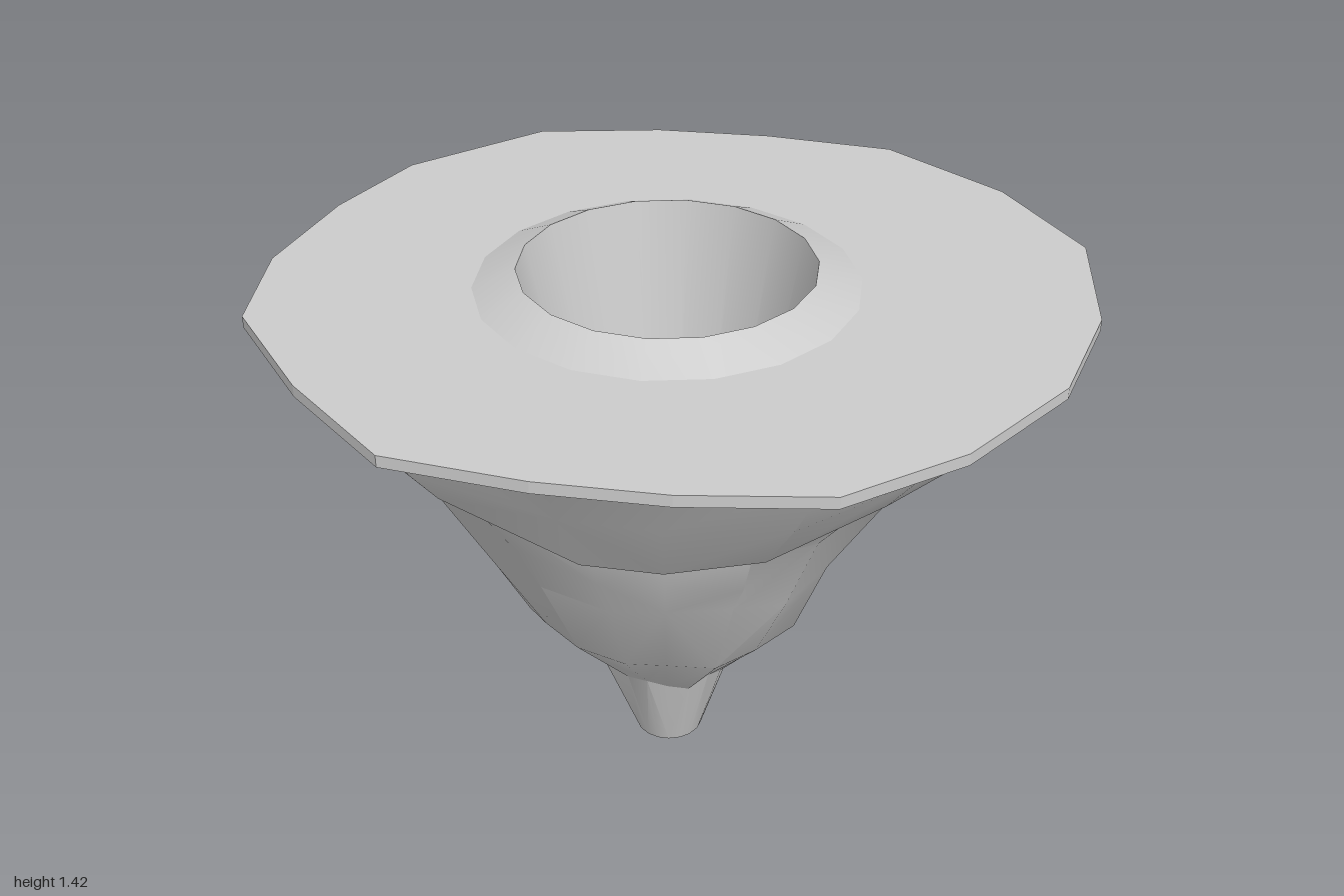
import * as THREE from 'three';
import { toCreasedNormals } from 'three/addons/utils/BufferGeometryUtils.js';

const CX = -0.03; // axis of the shaft
const SIDES = 18;

// Plate outline (x, z), from the front round through +x
const OUTLINE = [
  [0.12, 0.92], [0.41, 0.83], [0.72, 0.68], [0.9, 0.4], [1, 0.04], [0.97, -0.3],
  [0.82, -0.65], [0.52, -0.87], [0.15, -0.99], [-0.19, -0.92], [-0.48, -0.82], [-0.77, -0.66],
  [-0.97, -0.3], [-1, 0], [-0.97, 0.33], [-0.85, 0.61], [-0.55, 0.82], [-0.22, 0.98],
];

// Height of the overhanging ledge at each outline corner
const LEDGE = [0.93, 0.95, 1.0, 1.12, 1.16, 1.17, 1.2, 1.17, 1.18, 1.16, 1.19, 1.2, 1.22, 1.22, 1.2, 1.2, 1.19, 1.17];

// Rock profile: height, then radius towards +z, +x, -z, -x
const PROFILE = [
  [0, 0.09, 0.09, 0.09, 0.09],
  [0.25, 0.165, 0.165, 0.17, 0.175],
  [0.44, 0.34, 0.36, 0.38, 0.4],
  [0.7, 0.45, 0.47, 0.56, 0.56],
  [1.0, 0.67, 0.67, 0.69, 0.7],
  [1.2, 0.83, 0.87, 0.83, 0.81],
  [1.345, 0.91, 0.95, 0.91, 0.91],
];

function rng(seed) {
  return () => {
    seed = (seed * 16807) % 2147483647;
    return seed / 2147483647;
  };
}

function radiusAt(y, angle) {
  let i = 0;
  while (i < PROFILE.length - 2 && y > PROFILE[i + 1][0]) i++;
  const [a, b] = [PROFILE[i], PROFILE[i + 1]];
  const t = (y - a[0]) / (b[0] - a[0]);
  const q = (((angle / (Math.PI / 2)) % 4) + 4) % 4;
  const d = Math.floor(q);
  const side = (n) => THREE.MathUtils.lerp(a[1 + n], b[1 + n], t);
  return THREE.MathUtils.lerp(side(d), side((d + 1) % 4), q - d);
}

function rockGeometry() {
  const rand = rng(77);
  const jitter = (s) => (rand() * 2 - 1) * s;
  // Each ring: height rule, radius offset, roughness
  const rings = [
    [() => 0, 0, 0],
    [() => 0.25, 0, 0.025],
    [() => 0.45, 0, 0.03],
    [() => 0.7, 0, 0.045],
    [(l) => (0.7 + l - 0.05) / 2, -0.01, 0.045],
    [(l) => l - 0.04, -0.045, 0.02],
    [(l) => l, 0.01, 0.02],
    [(l) => (l + 1.345) / 2, 0, 0.025],
  ];
  const pos = [];
  for (const [height, offset, rough] of rings) {
    OUTLINE.forEach(([ox, oz], k) => {
      const a = Math.atan2(ox, oz);
      const y = height(LEDGE[k]) + jitter(rough);
      const shape = THREE.MathUtils.lerp(1, Math.hypot(ox, oz) / 0.98, Math.min(1, y / 1.345));
      const r = (radiusAt(y, a) + offset) * shape * (1 + jitter(rough));
      pos.push(CX + r * Math.sin(a), y, r * Math.cos(a));
    });
  }
  OUTLINE.forEach(([x, z]) => pos.push(x * 0.925, 1.35, z * 0.925));

  const index = [];
  for (let j = 0; j < rings.length; j++) {
    for (let k = 0; k < SIDES; k++) {
      const k1 = (k + 1) % SIDES;
      const a = j * SIDES + k, b = j * SIDES + k1;
      const c = b + SIDES, d = a + SIDES;
      if ((j + k) % 3) index.push(a, b, c, a, c, d);
      else index.push(a, b, d, b, c, d);
    }
  }
  const geo = new THREE.BufferGeometry();
  geo.setAttribute('position', new THREE.Float32BufferAttribute(pos, 3));
  geo.setIndex(index);
  return toCreasedNormals(geo, 0.42);
}

export function createModel() {
  const model = new THREE.Group();
  const material = new THREE.MeshStandardMaterial({ color: 0xcccccc });
  const add = (name, geometry) => {
    const mesh = new THREE.Mesh(geometry, material);
    mesh.name = name;
    model.add(mesh);
    return mesh;
  };

  // Craggy rock body tapering into the spout
  add('rockBody', rockGeometry());

  // Thin irregular ground plate with a hole for the shaft
  const shape = new THREE.Shape(OUTLINE.map(([x, z]) => new THREE.Vector2(x, -z)));
  const hole = new THREE.Path();
  hole.absarc(CX, 0, 0.4, 0, Math.PI * 2, true);
  shape.holes.push(hole);
  const plate = new THREE.ExtrudeGeometry(shape, { depth: 0.03, bevelEnabled: false, curveSegments: SIDES });
  plate.rotateX(-Math.PI / 2);
  add('groundPlate', plate).position.y = 1.343;

  // Sloped rim, conical shaft wall and the lip round the lower outlet
  const profile = [[0.48, 1.372], [0.37, 1.422], [0.075, 0], [0.09, 0]].map(([r, y]) => new THREE.Vector2(r, y));
  const shaft = toCreasedNormals(new THREE.LatheGeometry(profile, SIDES), 0.6);
  add('rimAndShaft', shaft).position.x = CX;

  return model;
}
